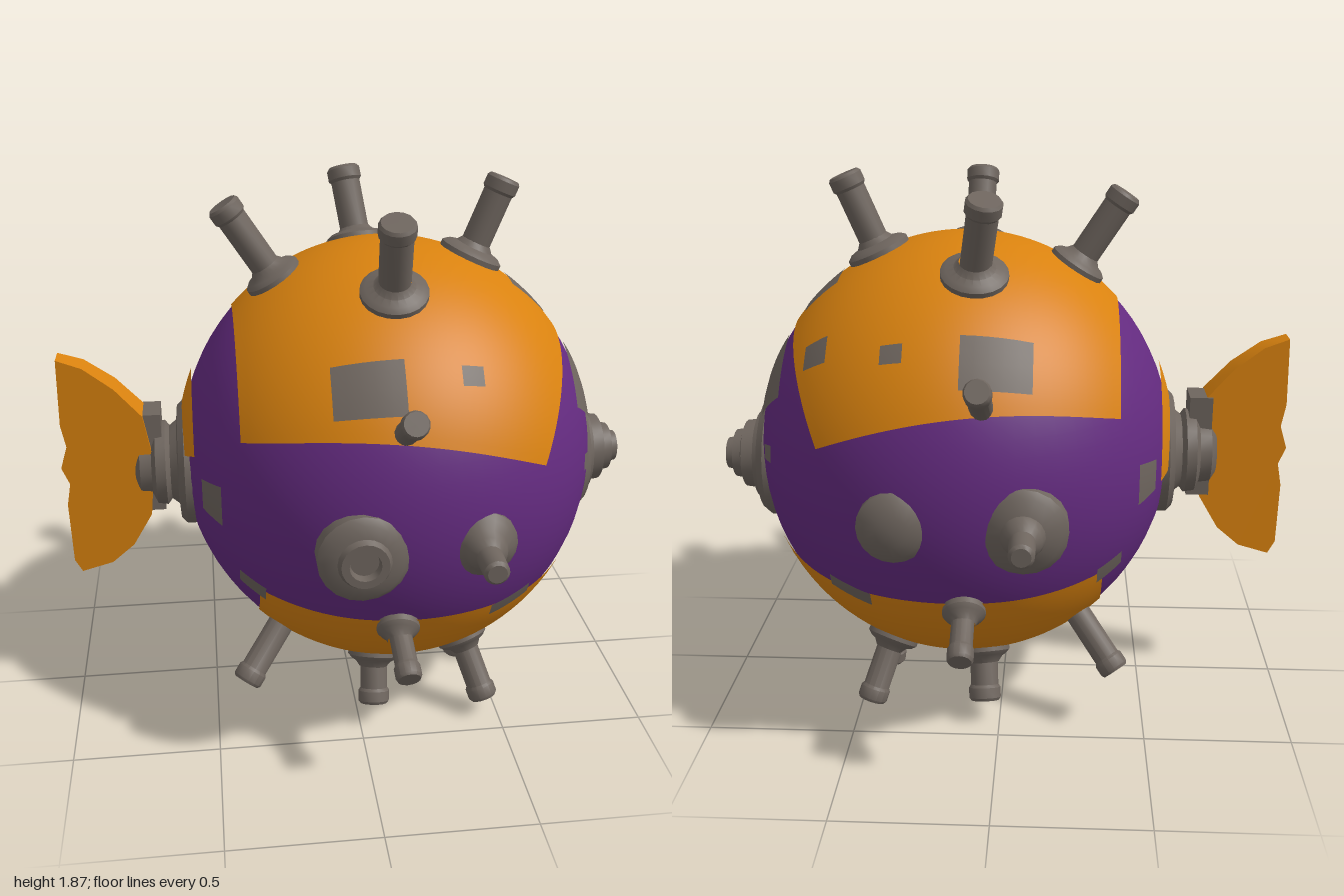
import * as THREE from 'three';
import { toCreasedNormals } from 'three/addons/utils/BufferGeometryUtils.js';

const CENTER = new THREE.Vector3(0.135, 0.91, 0);
const RX = 0.72, RY = 0.74, RZ = 0.745;
const UP = new THREE.Vector3(0, 1, 0);

export function createModel() {
  const model = new THREE.Group();
  const mat = (name, color) => {
    const m = new THREE.MeshStandardMaterial({ color });
    m.name = name;
    return m;
  };
  const orange = mat('orange', 0xd9820f);
  const purple = mat('purple', 0x642b80);
  const grey = mat('grey metal', 0x6e655e);

  const add = (name, geometry, material) => {
    const mesh = new THREE.Mesh(geometry, material);
    mesh.name = name;
    model.add(mesh);
    return mesh;
  };

  // Relative radius of the hull's cross-section at a given x
  const ring = (x) => Math.sqrt(Math.max(0, 1 - ((x - CENTER.x) / RX) ** 2));

  // Curved plate on the hull: along x, and by angle about the x axis (0 is up, positive toward +z)
  function panel(name, material, lift, nu, nv, xAt, phiAt) {
    const g = new THREE.PlaneGeometry(1, 1, nu, nv);
    const p = g.attributes.position;
    for (let i = 0; i < p.count; i++) {
      const t = p.getX(i) * 2, s = p.getY(i) + 0.5;
      const x = xAt(s, t), phi = phiAt(x, t), r = ring(x);
      const k = 1 + lift;
      p.setXYZ(i, CENTER.x + (x - CENTER.x) * k,
        CENTER.y + RY * k * r * Math.cos(phi), RZ * k * r * Math.sin(phi));
    }
    g.computeVertexNormals();
    return add(name, g, material);
  }
  const patch = (name, material, lift, x0, x1, a, b) =>
    panel(name, material, lift, Math.max(4, Math.ceil((b - a) * 16)), 5,
      (s) => x0 + (x1 - x0) * s, (x, t) => (a + b) / 2 + t * (b - a) / 2);

  // Turned part standing at a point along a direction; profile is [radius, height]
  function turned(name, profile, at, dir, sides = 20) {
    const g = new THREE.LatheGeometry(profile.map(([r, h]) => new THREE.Vector2(r, h)), sides);
    const mesh = add(name, toCreasedNormals(g, 0.6), grey);
    mesh.position.copy(at);
    mesh.quaternion.setFromUnitVectors(UP, dir.clone().normalize());
    return mesh;
  }

  // Hull
  const hull = add('hull', new THREE.SphereGeometry(1, 64, 40), purple);
  hull.scale.set(RX, RY, RZ);
  hull.position.copy(CENTER);

  // Orange top and bottom shells
  const clampAcos = (v) => Math.acos(THREE.MathUtils.clamp(v, -1, 1));
  panel('topShell', orange, 0.008, 56, 36,
    (s, t) => THREE.MathUtils.lerp(-0.385, 0.71 - 0.15 * t * t, s),
    (x, t) => t * clampAcos((1.205 - 0.45 * x * x - CENTER.y) / (RY * ring(x))));
  panel('bottomShell', orange, 0.008, 56, 36,
    (s) => THREE.MathUtils.lerp(-0.34, 0.81, s),
    (x, t) => {
      const edge = 0.59 + 0.9 * Math.max(0, x - 0.5) ** 2 + 0.3 * Math.min(0, x) ** 2;
      return Math.PI + t * clampAcos((CENTER.y - edge) / (RY * ring(x)));
    });
  patch('tailCollarPlate', orange, 0.02, -0.572, -0.525, -1.7, 1.2);

  // Bare metal patches, those in the first list on both sides
  const sidePatches = [
    [-0.11, 0.11, 0.81, 1.05], [0.285, 0.355, 0.84, 0.93],
    [0.72, 0.82, 0.33, 0.95], [0.75, 0.785, 1.33, 1.48],
    [0.40, 0.54, 2.05, 2.14], [-0.51, -0.45, 1.42, 1.74],
    [-0.40, -0.32, 2.05, 2.18],
  ];
  for (const [x0, x1, a, b] of sidePatches) {
    patch('metalPatch', grey, 0.012, x0, x1, a, b);
    patch('metalPatch', grey, 0.012, x0, x1, -b, -a);
  }
  patch('metalPatch', grey, 0.012, 0.55, 0.67, -0.24, 0.15);
  patch('metalPatch', grey, 0.012, 0.54, 0.62, -0.86, -0.7);

  // Spikes: base, tip, radius, flange radius
  const spikes = [
    [[-0.24, 1.53, 0], [-0.41, 1.79, 0], 0.05, 0.1],
    [[0.43, 1.59, -0.02], [0.54, 1.85, -0.03], 0.05, 0.11],
    [[0.11, 1.57, 0.34], [0.1, 1.82, 0.45], 0.052, 0.11],
    [[0.08, 1.57, -0.34], [0.04, 1.82, -0.44], 0.052, 0.11],
    [[0.1, 1.21, 0.63], [0.1, 1.33, 0.83], 0.037, 0],
    [[0.04, 1.21, -0.63], [0.04, 1.33, -0.83], 0.037, 0],
    [[0.09, 0.56, 0.64], [0.1, 0.46, 0.82], 0.037, 0.07],
    [[0.1, 0.56, -0.64], [0.1, 0.46, -0.82], 0.037, 0.07],
    [[0.41, 0.25, 0], [0.44, 0.01, 0], 0.05, 0.12],
    [[0.37, 0.3, 0.31], [0.45, 0.07, 0.4], 0.045, 0.09],
    [[0.37, 0.3, -0.31], [0.45, 0.07, -0.4], 0.045, 0.09],
    [[0.06, 0.26, 0.32], [0.05, 0.08, 0.4], 0.048, 0.09],
    [[0.06, 0.26, -0.32], [0.05, 0.08, -0.4], 0.048, 0.09],
    [[-0.26, 0.4, 0.32], [-0.4, 0.22, 0.42], 0.045, 0],
    [[-0.26, 0.4, -0.32], [-0.4, 0.22, -0.42], 0.045, 0],
  ];
  for (const [b, t, r, flange] of spikes) {
    const base = new THREE.Vector3(...b), dir = new THREE.Vector3(...t).sub(base);
    const len = dir.length();
    turned('spike', [[r, -0.08], [r, len - 0.055], [r * 1.15, len - 0.045],
      [r * 1.15, len - 0.01], [r, len], [0, len]], base, dir, 14);
    if (!flange) continue;
    // Flange sits square on the hull under the spike
    const d = base.clone().sub(CENTER);
    const k = 1 / Math.hypot(d.x / RX, d.y / RY, d.z / RZ);
    const foot = CENTER.clone().addScaledVector(d, k);
    const normal = new THREE.Vector3(d.x / RX ** 2, d.y / RY ** 2, d.z / RZ ** 2);
    turned('spikeFlange', [[flange, -0.03], [flange, 0.015], [flange * 0.85, 0.028],
      [r * 1.3, 0.036], [r, 0.055]], foot, normal);
  }

  // Side fittings: round ports and stepped posts
  const port = [[0.145, -0.08], [0.145, 0.02], [0.125, 0.04], [0.085, 0.05], [0.075, 0.068],
    [0.05, 0.068], [0.045, 0.04], [0, 0.04]];
  const dome = [[0.115, -0.08], [0.115, 0.01], [0.09, 0.03], [0.05, 0.045], [0, 0.05]];
  const post = (w) => [[w, -0.1], [w, 0.02], [w * 0.85, 0.04], [0.07, 0.06], [0.06, 0.09],
    [0.042, 0.11], [0.04, 0.2], [0.03, 0.21], [0, 0.21]];
  const front = new THREE.Vector3(0, 0, 1), back = new THREE.Vector3(0, 0, -1);
  turned('frontPort', port, new THREE.Vector3(-0.035, 0.85, 0.715), front);
  turned('frontPost', post(0.11), new THREE.Vector3(0.345, 0.86, 0.68), front);
  turned('backPost', post(0.14), new THREE.Vector3(-0.09, 0.85, -0.69), back);
  turned('backDome', dome, new THREE.Vector3(0.31, 0.86, -0.71), back);

  // Nose: stepped round stack
  turned('nose', [[0.22, -0.1], [0.22, 0.05], [0.2, 0.075], [0.165, 0.08], [0.155, 0.1],
    [0.125, 0.105], [0.12, 0.15], [0.09, 0.16], [0.085, 0.19], [0.06, 0.195], [0.055, 0.22],
    [0.035, 0.22], [0.03, 0.2], [0, 0.2]],
    new THREE.Vector3(0.78, 0.85, -0.02), new THREE.Vector3(1, 0, 0), 28);

  // Tail mount
  turned('tailMount', [[0.22, -0.06], [0.22, 0.025], [0.2, 0.045], [0.15, 0.05], [0.13, 0.075],
    [0.15, 0.09], [0.145, 0.125], [0.115, 0.14], [0.11, 0.18], [0.08, 0.2], [0, 0.2]],
    new THREE.Vector3(-0.55, 0.88, 0), new THREE.Vector3(-1, 0, 0), 24);
  const bracket = add('tailBracket', new THREE.BoxGeometry(0.08, 0.36, 0.13), grey);
  bracket.position.set(-0.69, 0.91, 0.01);

  // Tail fin, thinner toward its trailing edge
  const outline = [[-0.985, 1.295], [-0.9, 1.265], [-0.8, 1.19], [-0.71, 1.09], [-0.68, 0.92],
    [-0.7, 0.72], [-0.77, 0.6], [-0.85, 0.53], [-0.96, 0.495], [-0.985, 0.54], [-0.99, 0.76],
    [-0.975, 0.84], [-1, 0.9], [-0.975, 0.98], [-0.99, 1.06]];
  const fin = new THREE.ExtrudeGeometry(
    new THREE.Shape(outline.map(([x, y]) => new THREE.Vector2(x, y))),
    { depth: 1, bevelEnabled: false });
  const fp = fin.attributes.position;
  for (let i = 0; i < fp.count; i++) {
    const thick = THREE.MathUtils.mapLinear(fp.getX(i), -1, -0.68, 0.08, 0.14);
    fp.setZ(i, 0.02 + (fp.getZ(i) - 0.5) * thick);
  }
  add('tailFin', toCreasedNormals(fin, 0.5), orange);

  return model;
}
